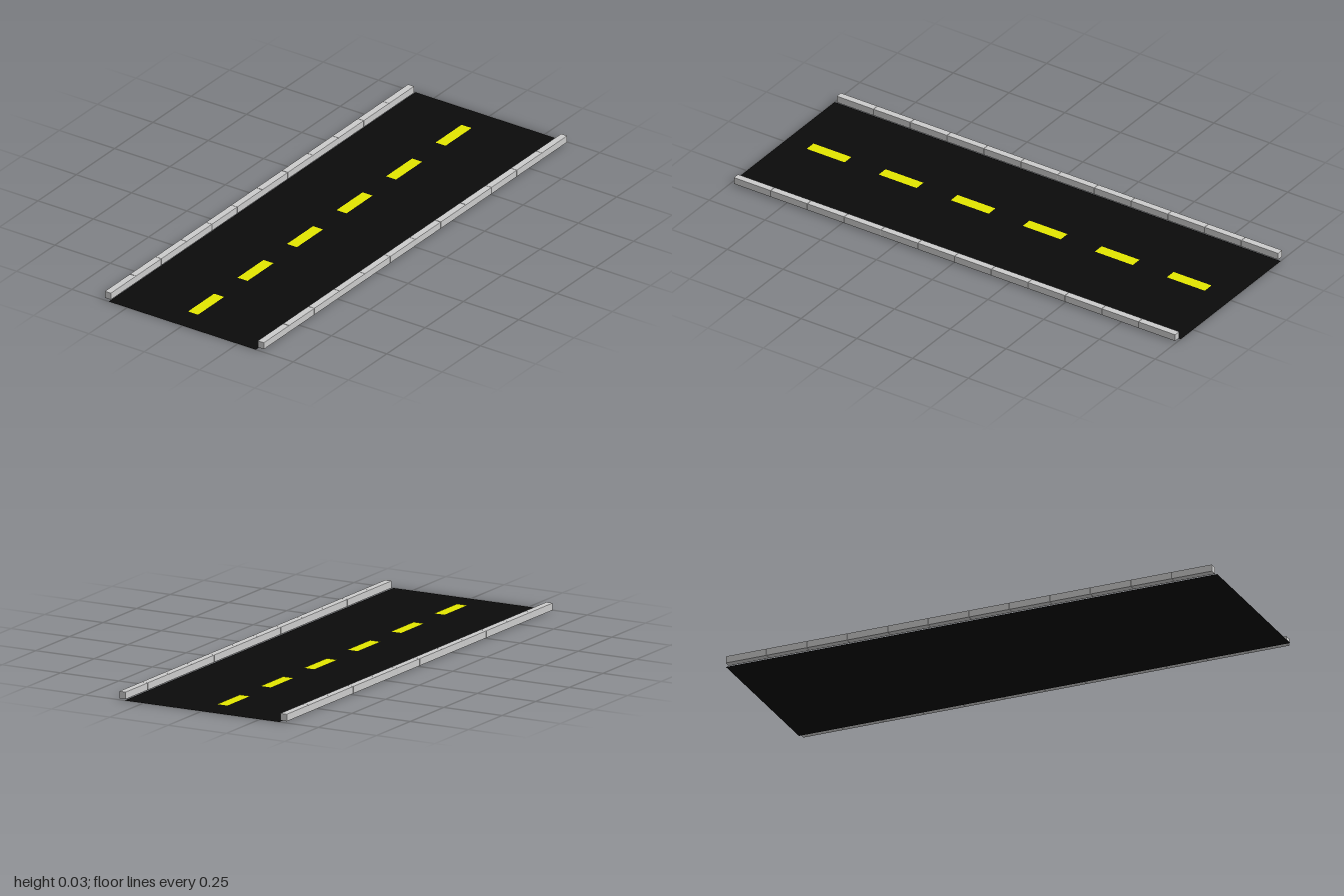
import * as THREE from 'three';
import { RoundedBoxGeometry } from 'three/addons/geometries/RoundedBoxGeometry.js';

export function createModel() {
  const road = new THREE.Group();
  road.name = 'road';

  const asphalt = new THREE.MeshStandardMaterial({ color: 0x0a0a0a, side: THREE.DoubleSide });
  const paint = new THREE.MeshStandardMaterial({ color: 0xe3e600 });
  const stone = new THREE.MeshStandardMaterial({ color: 0xcccccc, flatShading: true });

  // Flat sheet lying on the ground
  function addSheet(name, width, length, x, y, z, material) {
    const geometry = new THREE.PlaneGeometry(width, length).rotateX(-Math.PI / 2);
    const mesh = new THREE.Mesh(geometry, material);
    mesh.name = name;
    mesh.position.set(x, y, z);
    road.add(mesh);
  }

  // Road surface
  addSheet('roadSurface', 0.664, 2, -0.001, 0, 0, asphalt);

  // Dashed centre line, a little to one side of the middle
  for (let i = 0; i < 6; i++) {
    addSheet('laneDash', 0.045, 0.17, -0.022, 0.002, -0.8 + i * 0.323, paint);
  }

  // Kerbs: twelve stones per side with softened edges
  const stoneCount = 12;
  const stonePitch = 0.165;
  const stoneGeometry = new RoundedBoxGeometry(0.028, 0.028, 0.1645, 1, 0.0015);
  const sides = [
    { name: 'leftKerb', x: 0.344, z: -0.004 },
    { name: 'rightKerb', x: -0.345, z: 0 },
  ];
  for (const side of sides) {
    const kerb = new THREE.Group();
    kerb.name = side.name;
    kerb.position.set(side.x, 0.017, side.z);
    for (let i = 0; i < stoneCount; i++) {
      const block = new THREE.Mesh(stoneGeometry, stone);
      block.name = 'kerbStone';
      block.position.z = (i - (stoneCount - 1) / 2) * stonePitch;
      kerb.add(block);
    }
    road.add(kerb);
  }

  return road;
}
